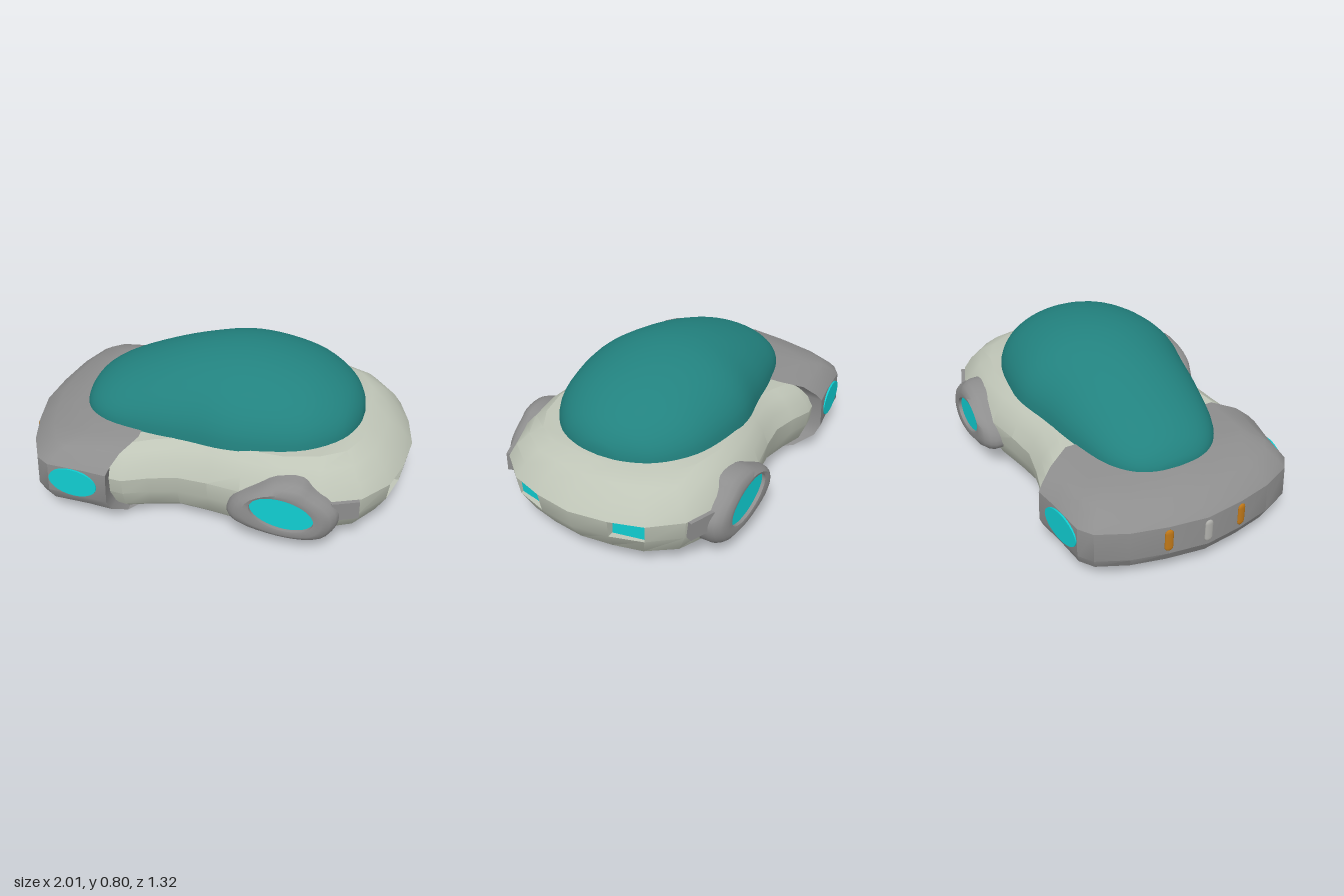
import * as THREE from 'three';
import { toCreasedNormals } from 'three/addons/utils/BufferGeometryUtils.js';

const mat = (name, color, side = THREE.FrontSide) => {
  const m = new THREE.MeshStandardMaterial({ color, side });
  m.name = name;
  return m;
};
const lerp = THREE.MathUtils.lerp;

// Surface through rows of points; cap closes mirrored rings top and bottom
function surface(rows, { crease = 0.6, skip = () => false, cap = false } = {}) {
  const pos = [];
  const tri = (a, b, c) => pos.push(...a, ...b, ...c);
  for (let i = 0; i < rows.length - 1; i++) {
    for (let j = 0; j < rows[i].length - 1; j++) {
      if (skip(i, j)) continue;
      const a = rows[i][j], b = rows[i][j + 1], c = rows[i + 1][j], d = rows[i + 1][j + 1];
      tri(a, c, b);
      tri(b, c, d);
    }
  }
  if (cap) {
    const n = rows[0].length - 1;
    const top = rows[rows.length - 1], bottom = rows[0];
    for (let j = 0; j < n / 2 - 1; j++) {
      const k = n - 1 - j;
      tri(top[j], top[k], top[j + 1]);
      tri(top[j + 1], top[k], top[k - 1]);
      tri(bottom[j], bottom[j + 1], bottom[k]);
      tri(bottom[j + 1], bottom[k - 1], bottom[k]);
    }
  }
  const g = new THREE.BufferGeometry();
  g.setAttribute('position', new THREE.Float32BufferAttribute(pos, 3));
  return toCreasedNormals(g, crease);
}

// Rings of a body: mirrored plan outline, drawn inwards by d at each height
function bodyRings(half, levels, centreX, endGain, heightAt) {
  const full = [...half, ...half.map(([x, z]) => [x, -z]).reverse()];
  full.push(full[0]);
  return levels.map(([y, d]) => full.map(([x, z]) => {
    const dir = new THREE.Vector2(x - centreX(x), z).normalize();
    const inset = d * (1 + endGain * Math.abs(dir.x));
    const px = x - dir.x * inset, pz = z - dir.y * inset;
    return [px, y * heightAt(px), pz];
  }));
}

export function createModel() {
  const model = new THREE.Group();
  const hullMat = mat('pale hull', 0xbfc5b7, THREE.DoubleSide);
  const greyMat = mat('grey trim', 0x8e8e8e);
  const domeMat = mat('teal canopy', 0x22827f);
  const glowMat = mat('cyan glass', 0x10ced2, THREE.DoubleSide);
  const orangeMat = mat('orange lamp', 0xc07818);
  const paleMat = mat('light grey lamp', 0xb0b0ac);
  const add = (name, geometry, material) => {
    const mesh = new THREE.Mesh(geometry, material);
    mesh.name = name;
    model.add(mesh);
    return mesh;
  };

  // Hull with two openings for the end windows
  const hullHalf = [[1, 0], [0.97, 0.2], [0.915, 0.37], [0.79, 0.515], [0.6, 0.585], [0.4, 0.6],
    [0.2, 0.585], [0.03, 0.55], [-0.13, 0.525], [-0.27, 0.55], [-0.4, 0.585], [-0.6, 0.55],
    [-0.8, 0.42], [-0.9, 0]];
  const hullLevels = [[0.012, 0.26], [0.05, 0.1], [0.1, 0.05], [0.21, 0.01], [0.31, 0],
    [0.38, 0.03], [0.44, 0.075], [0.475, 0.125]];
  const hullHeight = (x) => x > 0.1 ? 1
    : x > -0.3 ? lerp(0.92, 1, (x + 0.3) / 0.4)
      : x > -0.45 ? lerp(0.87, 0.92, (x + 0.45) / 0.15) : 0.85;
  const hull = bodyRings(hullHalf, hullLevels, (x) => THREE.MathUtils.clamp(x, -0.45, 0.45), 0.8, hullHeight);
  const openings = [1, hullHalf.length * 2 - 3];
  add('hull', surface(hull, {
    cap: true, crease: 0.5, skip: (i, j) => i === 3 && openings.includes(j),
  }), hullMat);

  // Recessed end windows
  for (const j of openings) {
    const a = hull[3][j], b = hull[3][j + 1], c = hull[4][j], d = hull[4][j + 1];
    const inner = ([, y, z]) => [Math.abs(z) < 0.3 ? 0.92 : 0.885, y, z];
    const loop = [a, b, d, c, a];
    add('endWindowFrame', surface([loop, loop.map(inner)], { crease: 0.1 }), hullMat);
    add('endWindow', surface([[a, b].map(inner), [c, d].map(inner)]), glowMat);
  }

  // Grey bumper wrapping the other end
  const bumperHalf = [[-0.47, 0.63], [-0.6, 0.607], [-0.79, 0.585], [-0.86, 0.535], [-0.93, 0.38],
    [-0.973, 0.2], [-1, 0]];
  const bumperLevels = [[0, 0.36], [0.03, 0.14], [0.1, 0.03], [0.16, 0], [0.32, 0.005],
    [0.355, 0.04], [0.4, 0.11], [0.43, 0.24]];
  const bumper = bodyRings(bumperHalf, bumperLevels, () => -0.1, 0,
    (x) => 1 + 0.04 * THREE.MathUtils.clamp((x + 0.78) / 0.45, -0.5, 1) - 0.01);
  add('bumper', surface(bumper, { cap: true, crease: 0.5 }), greyMat);

  // Canopy from half-elliptical sections: x, half width, top height
  const spine = new THREE.CatmullRomCurve3([[-0.725, 0, 0.42], [-0.71, 0.12, 0.47], [-0.66, 0.22, 0.535],
    [-0.55, 0.305, 0.61], [-0.32, 0.375, 0.71], [-0.1, 0.42, 0.775], [0.1, 0.465, 0.8],
    [0.3, 0.455, 0.785], [0.5, 0.4, 0.73], [0.66, 0.27, 0.635], [0.73, 0.12, 0.545],
    [0.745, 0, 0.47]].map((p) => new THREE.Vector3(...p)));
  const canopy = spine.getPoints(44).map(({ x, y: w, z: h }) => {
    const base = lerp(0.415, 0.465, THREE.MathUtils.clamp((x + 0.725) / 0.85, 0, 1));
    return Array.from({ length: 25 }, (_, k) => {
      const a = Math.PI * k / 24;
      return [x, base + Math.max(0, h - base) * Math.sin(a), Math.max(0, w) * Math.cos(a)];
    });
  });
  add('canopy', surface(canopy, { crease: 1.2 }), domeMat);

  // Side pods: free outline blending into a tilted oval window
  const outline = new THREE.CatmullRomCurve3([[0.14, 0.2], [0.17, 0.285], [0.28, 0.36], [0.38, 0.41],
    [0.51, 0.41], [0.565, 0.37], [0.65, 0.31], [0.69, 0.25], [0.68, 0.17], [0.62, 0.095], [0.5, 0.08],
    [0.34, 0.1], [0.18, 0.15]].map(([x, y]) => new THREE.Vector3(x, y, 0)), true).getPoints(39);
  const cx = 0.418, cy = 0.25;
  const podRow = (s) => ([t, z]) => outline.map((p) => {
    const a = Math.atan2(p.y - cy, p.x - cx) + 0.27;
    const r = 1 / Math.hypot(Math.cos(a) / 0.162, Math.sin(a) / 0.09);
    const ex = r * Math.cos(a - 0.27), ey = r * Math.sin(a - 0.27);
    const x = t < 1 ? lerp(p.x, cx + ex, t) : cx + ex * (2 - t);
    const y = t < 1 ? lerp(p.y, cy + ey, t) : cy + ey * (2 - t);
    return [x, y, s * (z - 0.04 * (x - 0.25))];
  });
  for (const s of [1, -1]) {
    const build = (profile) => {
      const rows = profile.map(podRow(s));
      return surface(s > 0 ? rows : rows.reverse(), { crease: 0.9 });
    };
    add('sidePod', build([[0, 0.47], [0, 0.59], [0.1, 0.617], [0.3, 0.642], [0.65, 0.66], [1, 0.655], [1, 0.635]]), greyMat);
    add('sidePodWindow', build([[1, 0.637], [2, 0.637]]), glowMat);

    // Small block behind each pod
    const tab = add('podTab', new THREE.BoxGeometry(0.14, 0.1, 0.06), greyMat);
    tab.position.set(0.708, 0.26, s * 0.535);
    tab.rotation.y = s * 0.35;

    // Oval window on each bumper flank
    const oval = add('bumperWindow', new THREE.CylinderGeometry(1, 1, 0.009, 28), glowMat);
    oval.geometry.rotateX(Math.PI / 2).scale(0.132, 0.08, 1);
    oval.position.set(-0.652, 0.238, s * 0.602);
    oval.rotation.y = -s * 0.125;
  }

  // Three upright lamps on the bumper end
  for (const [name, x, z, m] of [['orangeLamp', -0.971, 0.2, orangeMat],
    ['orangeLamp', -0.971, -0.2, orangeMat], ['centreLamp', -0.998, 0, paleMat]]) {
    const lamp = add(name, new THREE.CapsuleGeometry(0.022, 0.08, 4, 12), m);
    lamp.scale.x = 0.4;
    lamp.position.set(x, 0.235, z);
    lamp.rotation.y = z * 0.8;
  }
  return model;
}
